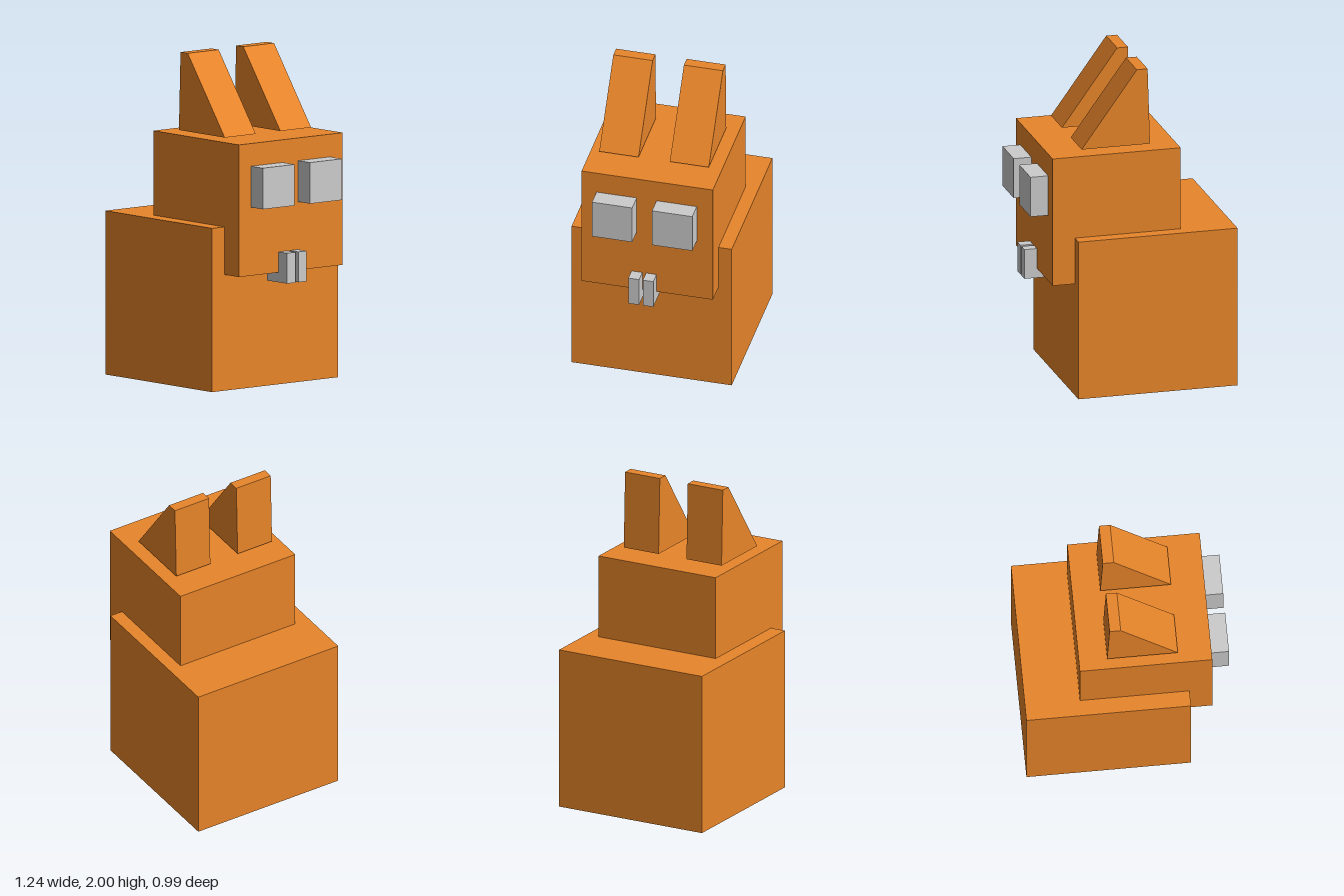
import * as THREE from 'three';

const orange = new THREE.MeshStandardMaterial({ color: 0xe8852a, flatShading: true });
const grey = new THREE.MeshStandardMaterial({ color: 0xcccccc, flatShading: true });

// Box given by its extents along each axis
function block(name, material, [x0, x1], [y0, y1], [z0, z1]) {
  const mesh = new THREE.Mesh(new THREE.BoxGeometry(x1 - x0, y1 - y0, z1 - z0), material);
  mesh.position.set((x0 + x1) / 2, (y0 + y1) / 2, (z0 + z1) / 2);
  mesh.name = name;
  return mesh;
}

// Wedge-shaped ear: side profile extruded across its width
function ear(name, z0, z1) {
  const profile = new THREE.Shape([
    new THREE.Vector2(-0.12, 1.525),
    new THREE.Vector2(0.307, 1.525),
    new THREE.Vector2(-0.038, 2),
    new THREE.Vector2(-0.105, 2),
  ]);
  const geometry = new THREE.ExtrudeGeometry(profile, { depth: z1 - z0, bevelEnabled: false });
  const mesh = new THREE.Mesh(geometry, orange);
  mesh.position.z = z0;
  mesh.name = name;
  return mesh;
}

export function createModel() {
  const model = new THREE.Group();
  model.name = 'blockAnimal';

  // Body and overlapping head; the face looks along +x
  model.add(block('body', orange, [-0.622, 0.372], [0, 0.995], [-0.497, 0.497]));
  model.add(block('head', orange, [-0.29, 0.51], [0.705, 1.508], [-0.415, 0.4]));

  // Ears hover just above the head
  model.add(ear('earNear', 0.098, 0.342), ear('earFar', -0.338, -0.096));

  // Eyes
  for (const [name, z] of [['eyeNear', [0.058, 0.307]], ['eyeFar', [-0.315, -0.065]]]) {
    model.add(block(name, grey, [0.43, 0.62], [1.12, 1.37], z));
  }

  // Front teeth, reaching back under the chin
  for (const [name, z] of [['toothNear', [0.023, 0.09]], ['toothFar', [-0.065, 0]]]) {
    model.add(block(name, grey, [0.402, 0.588], [0.645, 0.83], z));
  }

  return model;
}
